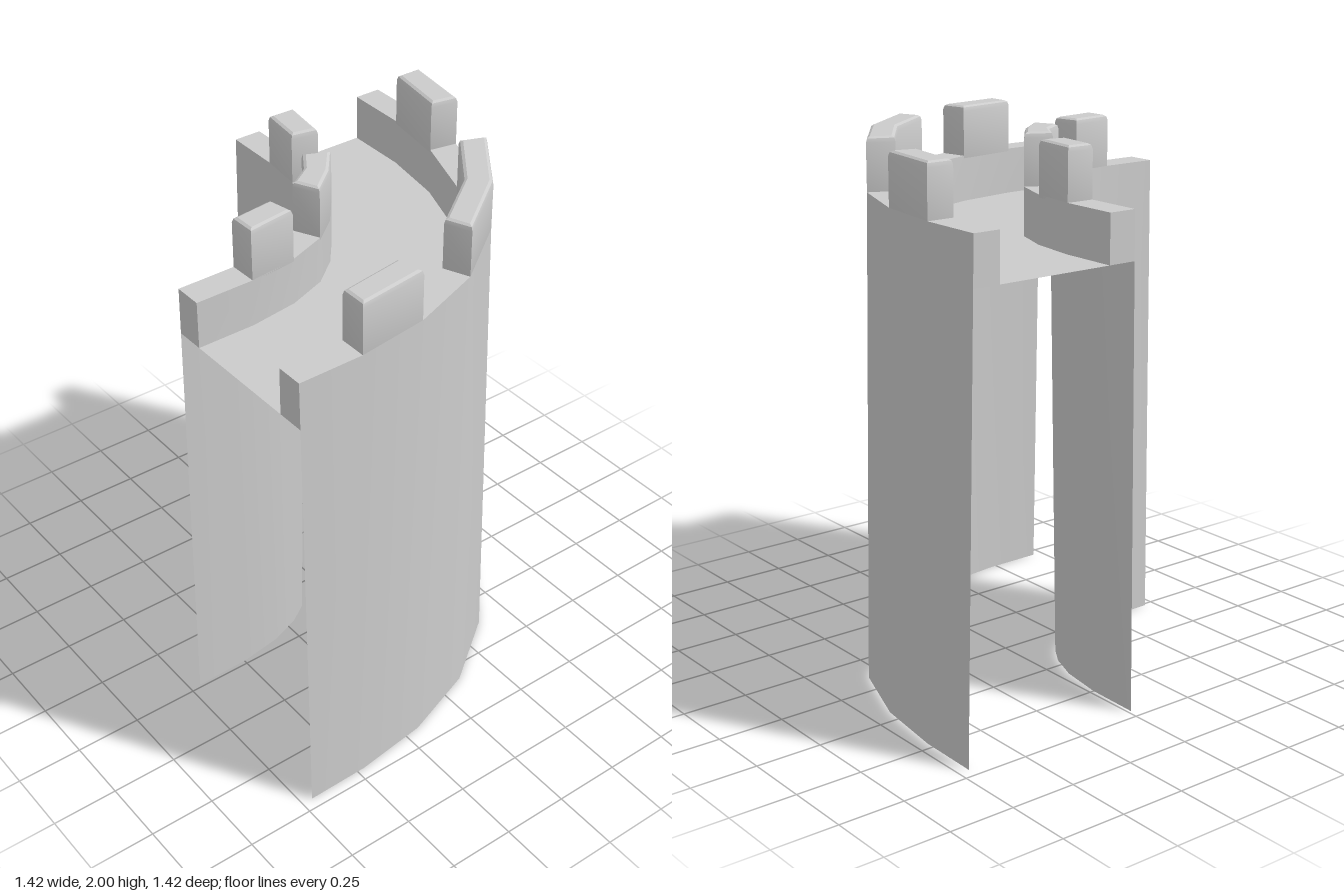
import * as THREE from 'three';
import { toCreasedNormals } from 'three/addons/utils/BufferGeometryUtils.js';

const C = 0.708; // the quarter turn is centred on (-C, C)
const FLOOR = 1.635, PARAPET = 1.81, TOP = 2;
const material = new THREE.MeshStandardMaterial({ color: 0xcccccc, side: THREE.DoubleSide });

// Half of each plan line; the other half mirrors over the diagonal
const line = (half) => [...half, ...half.slice(0, -1).reverse().map(([u, v]) => [v, u])];

const outerBase = line([[0, 1.416], [0.24, 1.412], [0.52, 1.375], [0.81, 1.27], [1.075, 1.075]]);
const outerTop = line([[0, 1.385], [0.245, 1.383], [0.515, 1.345], [0.8, 1.24], [1.052, 1.052]]);
const outerBack = line([[0, 1.283], [0.245, 1.28], [0.495, 1.24], [0.76, 1.145], [0.98, 0.98]]);
const innerBack = line([[0, 0.828], [0.22, 0.826], [0.405, 0.8], [0.555, 0.745], [0.66, 0.66]]);
const innerTop = line([[0, 0.722], [0.218, 0.72], [0.385, 0.7], [0.51, 0.652], [0.595, 0.595]]);
const innerBase = line([[0, 0.695], [0.212, 0.691], [0.38, 0.665], [0.495, 0.622], [0.572, 0.572]]);

// Point on the batter between two plan lines
const mix = (a, b, t) => a.map(([u, v], i) => [u + (b[i][0] - u) * t, v + (b[i][1] - v) * t]);
const outerFloor = mix(outerBase, outerTop, FLOOR / PARAPET);
const innerFloor = mix(innerBase, innerTop, FLOOR / PARAPET);

// Surface through rows of [plan line, height]
function sheet(rows) {
  const pos = [], index = [];
  const n = rows[0][0].length;
  for (const [pts, y] of rows) for (const [u, v] of pts) pos.push(u - C, y, C - v);
  for (let r = 0; r < rows.length - 1; r++) {
    for (let i = 0; i < n - 1; i++) {
      const a = r * n + i, b = a + n;
      index.push(a, b, a + 1, b, b + 1, a + 1);
    }
  }
  const geo = new THREE.BufferGeometry();
  geo.setAttribute('position', new THREE.Float32BufferAttribute(pos, 3));
  geo.setIndex(index);
  return toCreasedNormals(geo, 0.5);
}

// Bevelled block standing on the parapet from plan point a to plan point b
function merlon(front, back, a, b) {
  const outline = [...front.slice(a, b + 1), ...back.slice(a, b + 1).reverse()];
  const shape = new THREE.Shape(outline.map(([u, v]) => new THREE.Vector2(u, v)));
  const bevel = 0.02, start = PARAPET - 0.03;
  const geo = new THREE.ExtrudeGeometry(shape, {
    depth: TOP - start - 2 * bevel,
    bevelThickness: bevel, bevelSize: 0.014, bevelOffset: -0.014, bevelSegments: 2,
  });
  geo.rotateX(-Math.PI / 2).translate(-C, start + bevel, C);
  return toCreasedNormals(geo, 0.5);
}

export function createModel() {
  const model = new THREE.Group();
  model.name = 'curvedCastleWall';
  const add = (name, geo) => {
    const mesh = new THREE.Mesh(geo, material);
    mesh.name = name;
    model.add(mesh);
  };

  // Leaning wall skins with their parapets, and the walkway between
  add('outerWall', sheet([[outerBase, 0], [outerTop, PARAPET], [outerBack, PARAPET], [outerBack, FLOOR]]));
  add('walkway', sheet([[outerBack, FLOOR], [innerBack, FLOOR]]));
  add('innerWall', sheet([[innerBack, FLOOR], [innerBack, PARAPET], [innerTop, PARAPET], [innerBase, 0]]));

  // Parapet ends at both openings
  for (const i of [0, 8]) {
    const cap = (low, top, back) => sheet([[[low[i], back[i]], FLOOR], [[top[i], back[i]], PARAPET]]);
    add('outerParapetEnd', cap(outerFloor, outerTop, outerBack));
    add('innerParapetEnd', cap(innerFloor, innerTop, innerBack));
  }

  // Merlons: a short one on each side and a long bent one in the middle
  for (const [a, b] of [[1, 2], [3, 5], [6, 7]]) {
    add('outerMerlon', merlon(outerTop, outerBack, a, b));
    add('innerMerlon', merlon(innerTop, innerBack, a, b));
  }
  return model;
}
